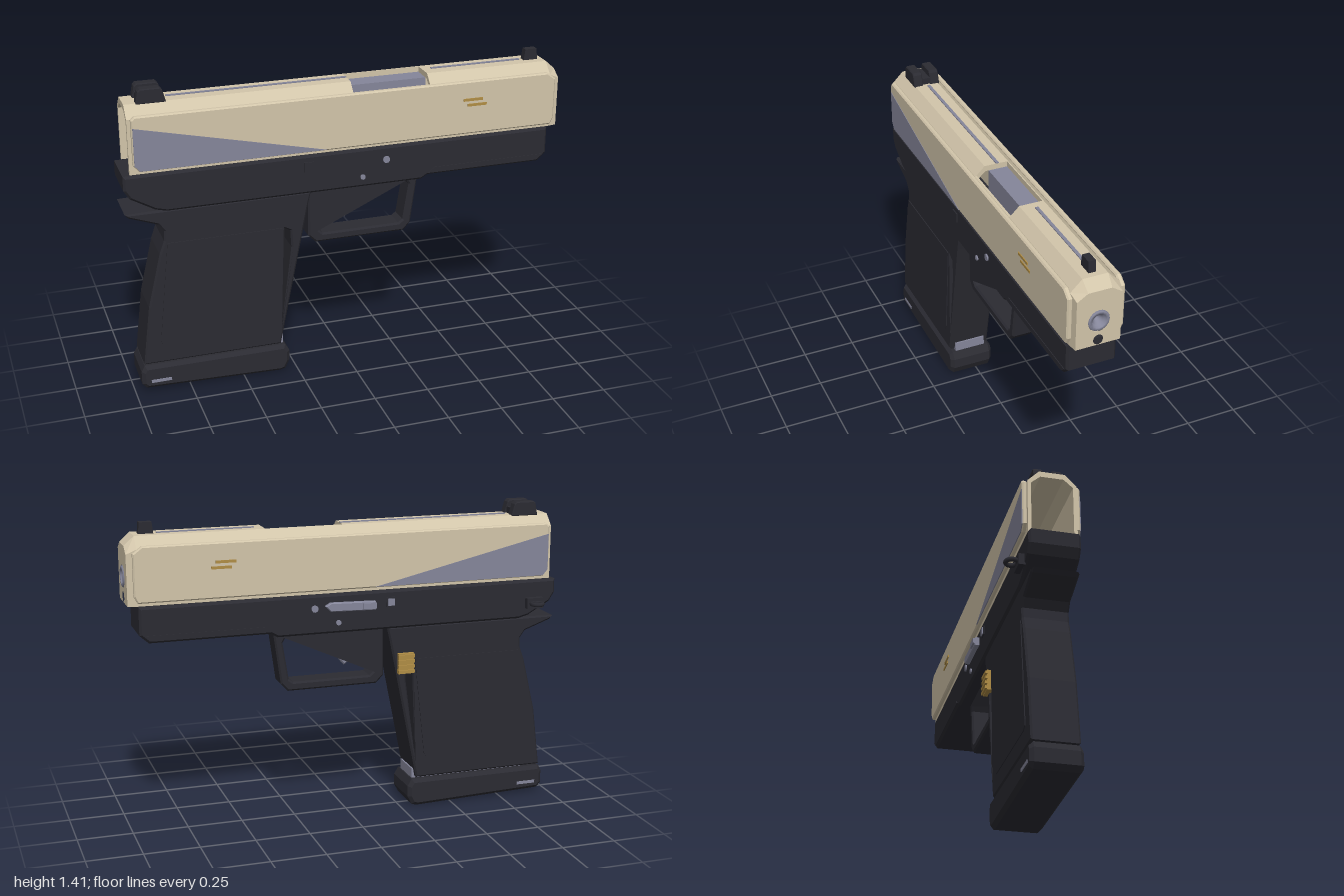
import * as THREE from 'three';

const ZC = 0.03; // centre plane of the body

export function createModel() {
  const root = new THREE.Group();
  const mat = (name, color) => Object.assign(new THREE.MeshStandardMaterial({ color }), { name });
  const tan = mat('sand', 0xd2c5aa);
  const dark = mat('charcoal', 0x2b2b32);
  const grey = mat('steel', 0x85869a);
  const gold = mat('brass', 0xb08d45);

  const add = (name, geo, material, x = 0, y = 0, z = 0) => {
    const m = new THREE.Mesh(geo, material);
    m.name = name;
    m.position.set(x, y, z);
    root.add(m);
    return m;
  };
  const poly = (pts, Type = THREE.Shape) => new Type(pts.map(p => new THREE.Vector2(p[0], p[1])));
  const outline = (pts, holes = []) => {
    const s = poly(pts);
    s.holes = holes.map(h => poly(h, THREE.Path));
    return s;
  };
  // Solid of the given depth starting at z = 0, with the outline kept at full size
  const extrude = (shape, depth, bevel = 0) => new THREE.ExtrudeGeometry(shape, {
    depth: depth - 2 * bevel, bevelEnabled: bevel > 0, bevelThickness: bevel, bevelSize: bevel,
    bevelOffset: -bevel, bevelSegments: 1, curveSegments: 10,
  }).translate(0, 0, bevel);
  // Side profile centred on the body plane
  const profile = (name, shape, width, material, bevel = 0) =>
    add(name, extrude(shape, width, bevel), material, 0, 0, ZC - width / 2);
  // Matching plates on both flanks, from `from` out to `to`
  const plates = (name, pts, from, to, material, bevel = 0) => {
    for (const s of [1, -1])
      add(name, extrude(outline(pts), to - from, bevel), material, 0, 0, s > 0 ? ZC + from : ZC - to);
  };
  // Cross-section extruded along x; section coordinates are (-z, y)
  const along = (name, shape, x0, x1, material) =>
    add(name, extrude(shape, x1 - x0).rotateY(Math.PI / 2), material, x0, 0, ZC);
  const bar = (x0, x1, y0, y1) => [[x0, y0], [x1, y0], [x1, y1], [x0, y1]];

  // Hollow slide, open below and behind, with a port cut in the middle
  const outer = [[-0.105, 1.055], [-0.105, 1.3], [-0.055, 1.35], [0.055, 1.35], [0.105, 1.3], [0.105, 1.055]];
  const inner = [[0.09, 1.055], [0.09, 1.29], [0.05, 1.325], [-0.05, 1.325], [-0.09, 1.29], [-0.09, 1.055]];
  along('slideRear', outline([...outer, ...inner]), -0.97, 0.02, tan);
  along('slideFront', outline([...outer, ...inner]), 0.375, 0.95, tan);
  along('portNearWall', outline(bar(-0.105, -0.09, 1.055, 1.31)), 0.02, 0.375, tan);
  along('portFarWall', outline([[0.105, 1.055], [0.105, 1.3], [0.055, 1.35], [0.05, 1.35], [0.05, 1.325],
    [0.09, 1.29], [0.09, 1.055]]), 0.02, 0.375, tan);

  // Nose plate with bore and guide openings, tapered forward
  const nose = outline(outer);
  for (const [y, r] of [[1.17, 0.05], [1.08, 0.023]])
    nose.holes.push(new THREE.Path().absarc(0, y, r, 0, Math.PI * 2, true));
  const noseGeo = along('slideNose', nose, 0.95, 0.995, tan).geometry;
  const p = noseGeo.attributes.position;
  for (let i = 0; i < p.count; i++) {
    if (p.getX(i) < 0.04) continue;
    if (p.getY(i) > 1.34) p.setY(i, 1.31);
    else if (p.getY(i) > 1.29) p.setY(i, 1.28);
    p.setZ(i, p.getZ(i) * 0.93);
  }
  noseGeo.computeVertexNormals();

  // Barrel, its inner bore and the block in the port
  const tube = [[0.05, 0.3], [0.05, 0.99], [0.044, 1], [0.032, 1], [0.028, 0.985], [0.022, 0.985], [0, 0.95]];
  add('barrel', new THREE.LatheGeometry(tube.map(q => new THREE.Vector2(...q)), 16).rotateZ(-Math.PI / 2),
    grey, 0, 1.17, ZC);
  add('barrelBlock', new THREE.BoxGeometry(0.36, 0.17, 0.088), grey, 0.197, 1.24, 0.022);

  // Flank panels with steel wedges and brass bars
  plates('slidePanel', [[-0.955, 1.1], [-0.93, 1.07], [0.955, 1.07], [0.97, 1.1], [0.97, 1.285],
    [0.93, 1.315], [-0.94, 1.315], [-0.955, 1.3]], 0.1, 0.124, tan, 0.006);
  plates('wedgeInlay', [[-0.95, 1.1], [-0.927, 1.074], [-0.11, 1.074], [-0.95, 1.266]], 0.12, 0.126, grey);
  plates('upperBar', bar(0.525, 0.615, 1.225, 1.237), 0.12, 0.128, gold);
  plates('lowerBar', bar(0.545, 0.635, 1.2, 1.212), 0.12, 0.128, gold);

  // Top rib
  add('rearRib', new THREE.BoxGeometry(0.8, 0.006, 0.014), grey, -0.38, 1.351, 0.025);
  add('frontRib', new THREE.BoxGeometry(0.43, 0.006, 0.014), grey, 0.63, 1.351, 0.025);

  // Sights: notched rear block and front post
  const rear = [[-0.92, 1.345], [-0.79, 1.345], [-0.805, 1.4], [-0.815, 1.41], [-0.9, 1.41], [-0.91, 1.4]];
  for (const z of [-0.033, 0.047])
    add('rearSightEar', extrude(outline(rear), 0.044, 0.004), dark, 0, 0, z);
  add('rearSightBridge', new THREE.BoxGeometry(0.11, 0.035, 0.05), dark, -0.855, 1.362, ZC);
  profile('frontSight', outline([[0.858, 1.345], [0.925, 1.345], [0.92, 1.4], [0.865, 1.4]]), 0.032, dark);

  // Frame
  profile('frame', outline([[-1, 1.05], [-1, 0.985], [-0.975, 0.945], [-0.87, 0.885], [-0.82, 0.872], [0.34, 0.872],
    [0.37, 0.89], [0.91, 0.89], [0.95, 0.925], [0.95, 1.05]]), 0.22, dark, 0.01);
  plates('railStep', [[0.37, 0.9], [0.9, 0.9], [0.935, 0.925], [0.4, 0.925]], 0.105, 0.113, dark);

  // Grip with narrow openings beside the front and back straps
  profile('grip', outline([[-1, 0.872], [-0.985, 0.855], [-0.86, 0.81], [-0.835, 0.775], [-0.838, 0.73],
    [-0.86, 0.67], [-0.92, 0.42], [-0.955, 0.142], [-0.325, 0.142], [-0.19, 0.81], [-0.175, 0.875], [-0.9, 0.875]],
  [[[-0.298, 0.715], [-0.272, 0.7], [-0.268, 0.62], [-0.32, 0.22]],
    [[-0.784, 0.705], [-0.787, 0.66], [-0.815, 0.56]]]), 0.2, dark, 0.008);
  plates('gripPanel', [[-0.825, 0.72], [-0.795, 0.72], [-0.826, 0.54], [-0.79, 0.72], [-0.31, 0.72], [-0.36, 0.26],
    [-0.375, 0.235], [-0.4, 0.22], [-0.85, 0.22], [-0.872, 0.235], [-0.875, 0.26]].filter((_, i) => i < 1 || i > 2),
  0.098, 0.104, dark);

  // Magazine and its base
  add('magazine', new THREE.BoxGeometry(0.56, 0.07, 0.15), grey, -0.59, 0.145, ZC);
  profile('magazineBase', outline([[-0.97, 0.045], [-0.95, 0.022], [-0.33, 0.003], [-0.305, 0.01], [-0.285, 0.05],
    [-0.285, 0.1], [-0.305, 0.134], [-0.955, 0.134], [-0.97, 0.105]]), 0.216, dark, 0.016);
  plates('baseMark', bar(-0.93, -0.838, 0.052, 0.066), 0.104, 0.111, grey);

  // Trigger guard and curved trigger
  profile('triggerGuard', outline([[-0.175, 0.88], [-0.175, 0.64], [-0.14, 0.605], [0.28, 0.605], [0.312, 0.64],
    [0.345, 0.88]], [[[-0.13, 0.87], [-0.13, 0.665], [-0.108, 0.645], [0.255, 0.645], [0.275, 0.66],
    [0.302, 0.83], [0.28, 0.868]]]), 0.105, dark, 0.008);
  const trig = new THREE.Shape();
  trig.moveTo(-0.01, 0.88);
  trig.quadraticCurveTo(0.045, 0.77, -0.012, 0.71);
  trig.lineTo(0.005, 0.698);
  trig.quadraticCurveTo(0.06, 0.75, 0.045, 0.88);
  profile('trigger', trig, 0.05, grey, 0.006);

  // Cross pins and square stud
  for (const [x, y, r] of [[0.17, 0.99, 0.016], [0.06, 0.92, 0.012]])
    add('crossPin', new THREE.CylinderGeometry(r, r, 0.234, 10).rotateX(Math.PI / 2), grey, x, y, ZC);
  plates('squareStud', bar(-0.21, -0.165, 0.975, 1.02), 0.1, 0.115, dark);
  add('studFace', new THREE.BoxGeometry(0.032, 0.032, 0.006), grey, -0.188, 0.997, -0.087);

  // Slide stop on the back flank
  add('slideStop', extrude(outline([[-0.11, 0.97], [0.1, 0.975], [0.125, 1], [0.1, 1.015], [-0.11, 1.01]]),
    0.024, 0.004), grey, 0, 0, -0.102);
  add('slideStopTab', new THREE.BoxGeometry(0.06, 0.025, 0.012), grey, -0.08, 0.992, -0.105);

  // Lanyard ring on the back flank
  add('lanyardMount', new THREE.BoxGeometry(0.08, 0.05, 0.03), dark, -0.89, 0.945, -0.09);
  add('lanyardRing', new THREE.TorusGeometry(0.026, 0.01, 6, 14).rotateX(Math.PI / 2), dark, -0.89, 0.947, -0.124);

  // Ridged magazine release
  add('releaseButton', new THREE.BoxGeometry(0.075, 0.095, 0.03), gold, -0.262, 0.705, -0.074);
  for (let i = 0; i < 4; i++)
    add('releaseRidge', new THREE.BoxGeometry(0.078, 0.013, 0.012), gold, -0.262, 0.669 + i * 0.024, -0.091);

  return root;
}
